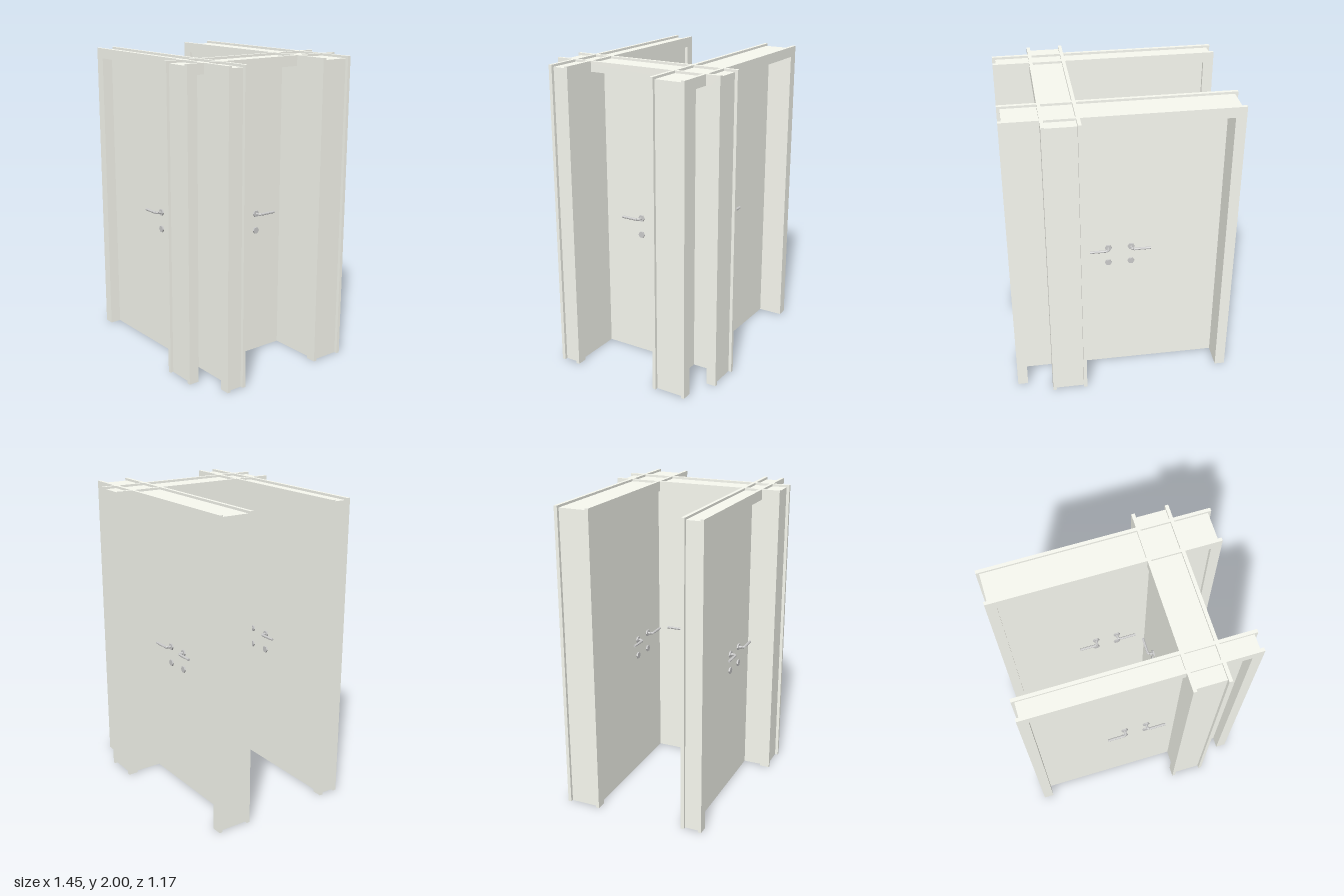
import * as THREE from 'three';

const paint = new THREE.MeshStandardMaterial({ color: 0xf8f9f0, flatShading: true });
const metal = new THREE.MeshStandardMaterial({ color: 0xcccccc, flatShading: true });
const HEIGHT = 2, FACE = 0.067, CASING = 0.022, LEAF = 0.045;

function add(parent, name, geometry, material) {
  const mesh = new THREE.Mesh(geometry, material);
  mesh.name = name;
  parent.add(mesh);
  return mesh;
}

// Upside-down U (two posts and a head), open at the floor
function portal(outer, outerTop, inner, innerTop, depth) {
  const shape = new THREE.Shape([
    [-outer, 0], [-outer, outerTop], [outer, outerTop], [outer, 0],
    [inner, 0], [inner, innerTop], [-inner, innerTop], [-inner, 0],
  ].map(([x, y]) => new THREE.Vector2(x, y)));
  return new THREE.ExtrudeGeometry(shape, { depth, bevelEnabled: false });
}

// Capped round bar between two points
function bar(parent, name, a, b, radius) {
  const from = new THREE.Vector3(...a), to = new THREE.Vector3(...b);
  const dir = to.clone().sub(from);
  const geometry = new THREE.CylinderGeometry(radius, radius, dir.length(), 8, 1, false, Math.PI / 8);
  const mesh = add(parent, name, geometry, metal);
  mesh.position.copy(from).add(to).multiplyScalar(0.5);
  mesh.quaternion.setFromUnitVectors(new THREE.Vector3(0, 1, 0), dir.normalize());
}

// Lever handle with its rose and a lock rose below; lever points to `side`
function handle(side) {
  const group = new THREE.Group();
  group.name = 'handle';
  for (const [name, y] of [['handleRose', 0.965], ['lockRose', 0.85]]) {
    const rose = new THREE.CylinderGeometry(0.023, 0.023, 0.01, 6, 1, false, Math.PI / 2);
    add(group, name, rose.rotateX(Math.PI / 2), metal).position.set(side * 0.075, y, 0.005);
  }
  const path = [[0.075, 0], [0.075, 0.03], [0.087, 0.041], [0.2, 0.041]];
  const names = ['handleStem', 'handleElbow', 'handleLever'];
  names.forEach((name, i) => bar(group, name,
    [side * path[i][0], 0.965, path[i][1]],
    [side * path[i + 1][0], 0.965, path[i + 1][1]], 0.0085));
  return group;
}

// Complete double door; the leaves sit close to the +z casing
function doorSet(name, half, depth) {
  const set = new THREE.Group();
  set.name = name;
  const inner = half - FACE, innerTop = HEIGHT - FACE, front = depth / 2;

  // Casings on both sides of the lining
  for (const [part, z] of [['frontCasing', front - CASING], ['backCasing', -front]]) {
    add(set, part, portal(half, HEIGHT, inner, innerTop, CASING), paint).position.z = z;
  }
  add(set, 'lining', portal(half - 0.02, HEIGHT - 0.015, inner, innerTop, depth - 2 * CASING), paint)
    .position.z = -front + CASING;

  // Two leaves, with handles on both faces
  const leafFront = front - CASING;
  for (const side of [-1, 1]) {
    add(set, 'doorLeaf', new THREE.BoxGeometry(inner, innerTop, LEAF), paint)
      .position.set(side * inner / 2, innerTop / 2, leafFront - LEAF / 2);
    const near = handle(side);
    near.position.z = leafFront;
    const far = handle(side);
    far.rotation.y = Math.PI;
    far.position.z = leafFront - LEAF;
    set.add(near, far);
  }
  return set;
}

export function createModel() {
  const model = new THREE.Group();
  model.name = 'doors';

  const back = doorSet('backDoor', 0.725, 0.232);
  back.position.z = -0.378;

  const front = doorSet('frontDoor', 0.725, 0.14);
  front.position.z = 0.398;
  front.rotation.y = Math.PI;

  // Cross door passing through the other two
  const cross = doorSet('crossDoor', 0.587, 0.232);
  cross.position.x = 0.375;
  cross.rotation.y = -Math.PI / 2;

  model.add(back, front, cross);
  return model;
}
